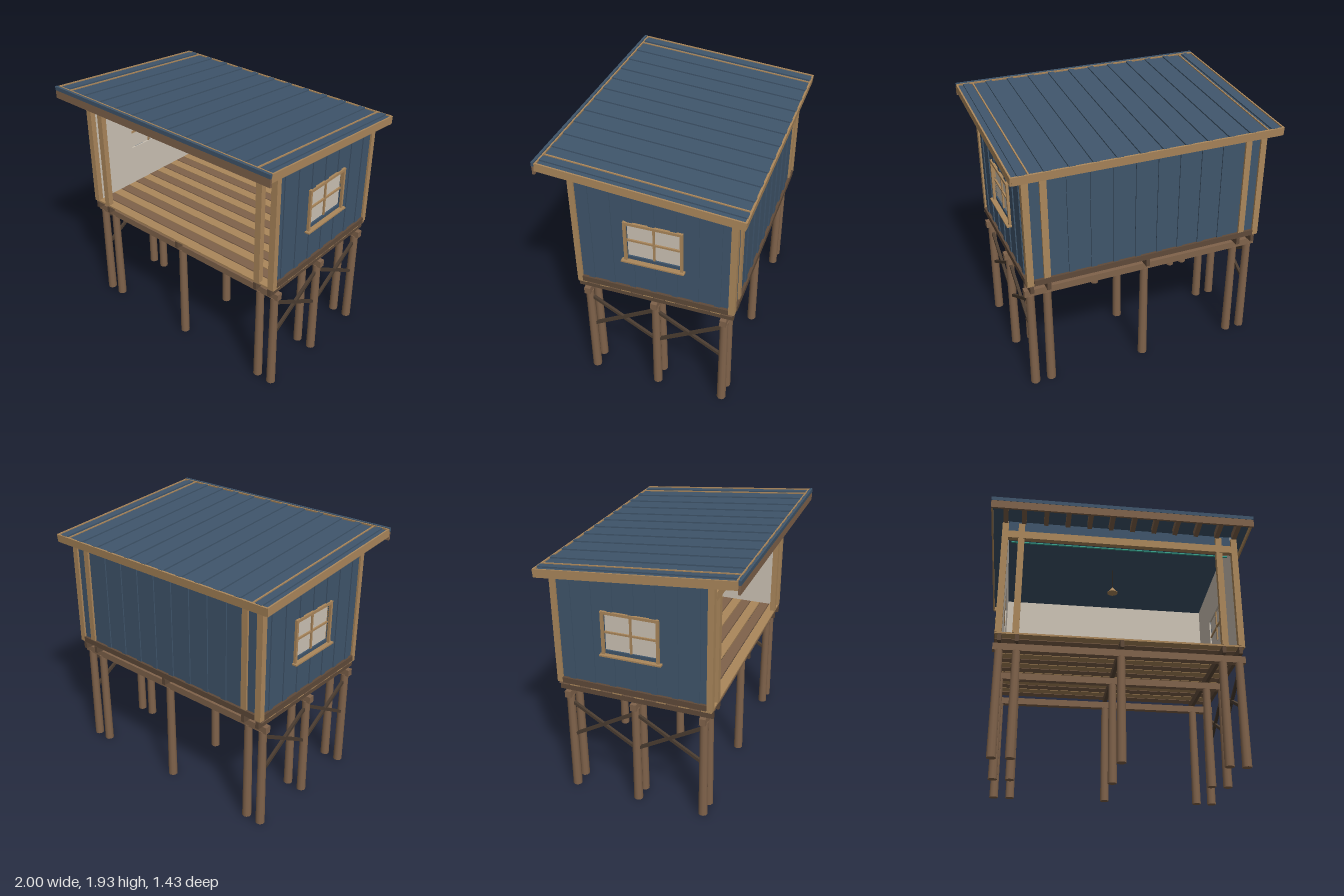
import * as THREE from 'three';

const mat = (name, color) => {
  const m = new THREE.MeshStandardMaterial({ color });
  m.name = name;
  return m;
};

export function createModel() {
  const blue = mat('blue metal', 0x3f556b);
  const tan = mat('light timber', 0xab875b);
  const brown = mat('brown timber', 0x80634b);
  const dark = mat('dark timber', 0x5f4a39);
  const braceMat = mat('brace timber', 0x4a3c30);
  const lining = mat('pale lining', 0xcdc3b5);
  const teal = mat('teal light', 0x3aa592);
  const black = mat('dark cord', 0x2a2623);

  const model = new THREE.Group();
  model.name = 'stiltCabin';
  const SLOPE = 0.089;
  const roofY = (z, drop = 0) => 1.869 + SLOPE * z - drop;

  const add = (name, geo, material, parent = model) => {
    const m = new THREE.Mesh(geo, material);
    m.name = name;
    parent.add(m);
    return m;
  };
  // Box given by its minimum and maximum on each axis
  const box = (name, material, x0, x1, y0, y1, z0, z1, parent) => {
    const m = add(name, new THREE.BoxGeometry(Math.abs(x1 - x0), y1 - y0, z1 - z0), material, parent);
    m.position.set((x0 + x1) / 2, (y0 + y1) / 2, (z0 + z1) / 2);
    return m;
  };
  const group = (name) => {
    const g = new THREE.Group();
    g.name = name;
    model.add(g);
    return g;
  };

  // Stilts, cross beams and joists
  const cols = [-0.88, -0.755, 0, 0.755, 0.88];
  const rows = [0.456, -0.056, -0.567];
  const base = group('substructure');
  const stiltGeo = new THREE.CylinderGeometry(0.03, 0.035, 0.8, 10);
  for (const z of rows) {
    for (const x of cols) add('stilt', stiltGeo, brown, base).position.set(x, 0.4, z);
    box('crossBeam', brown, -0.925, 0.925, 0.793, 0.846, z - 0.023, z + 0.023, base);
  }
  for (const x of cols) box('joist', dark, x - 0.014, x + 0.014, 0.846, 0.9, -0.635, 0.525, base);

  // Diagonal braces between the outer stilts
  for (const x of [-0.88, 0.88]) {
    for (let i = 0; i < 2; i++) {
      for (const s of [1, -1]) {
        const dz = rows[i] - rows[i + 1];
        const brace = add('brace', new THREE.BoxGeometry(0.022, 0.022, Math.hypot(dz, 0.3)), braceMat, base);
        brace.position.set(x, 0.6, (rows[i] + rows[i + 1]) / 2);
        brace.rotation.x = s * Math.atan2(0.3, dz);
      }
    }
  }

  // Floor planks with narrow gaps
  const floor = group('floor');
  const N = 14, pitch = 1.16 / N;
  for (let i = 0; i < N; i++) {
    const z = -0.635 + i * pitch;
    box('plank', i % 2 ? tan : brown, -0.915, 0.915, 0.9, 0.914, z + 0.004, z + pitch - 0.004, floor);
  }

  // Corner posts and inner posts
  const frame = group('frame');
  for (const s of [1, -1]) {
    for (const c of [0.89, 0.767]) {
      const x = s * c;
      box('frontPost', tan, x - 0.024, x + 0.024, 0.914, 1.848, 0.482, 0.524, frame);
      box('backPost', tan, x - 0.024, x + 0.024, 0.914, 1.785, -0.645, -0.6, frame);
    }
  }
  box('frontBeam', tan, -0.866, 0.866, 1.715, 1.776, 0.485, 0.527, frame);
  box('transomPanel', blue, -0.866, 0.866, 1.776, 1.875, 0.487, 0.5, frame);
  box('lightStrip', teal, -0.84, 0.84, 1.703, 1.711, 0.468, 0.482, frame);

  // Side walls: sloping top with a window opening
  const W = { z0: -0.257, z1: 0.126, y0: 1.235, y1: 1.513 };
  const wallGeo = (depth) => {
    const shape = new THREE.Shape([
      [-0.605, 0.914], [0.485, 0.914], [0.485, roofY(0.485, 0.024)], [-0.605, roofY(-0.605, 0.024)],
    ].map(([z, y]) => new THREE.Vector2(z, y)));
    shape.holes.push(new THREE.Path([
      [W.z0, W.y0], [W.z0, W.y1], [W.z1, W.y1], [W.z1, W.y0],
    ].map(([z, y]) => new THREE.Vector2(z, y))));
    return new THREE.ExtrudeGeometry(shape, { depth, bevelEnabled: false })
      .rotateY(-Math.PI / 2).translate(depth / 2, 0, 0);
  };
  for (const s of [1, -1]) {
    const side = group(s > 0 ? 'leftWall' : 'rightWall');
    add('siding', wallGeo(0.02), blue, side).position.x = s * 0.89;
    add('innerLining', wallGeo(0.012), lining, side).position.x = s * 0.874;
    box('baseTrim', dark, s * 0.9, s * 0.92, 0.914, 0.957, -0.6, 0.482, side);

    // Raised siding ribs, interrupted by the window
    for (let z = -0.52; z < 0.45; z += 0.155) {
      const rib = (y0, y1) => box('sidingRib', blue, s * 0.9, s * 0.908, y0, y1, z - 0.022, z + 0.022, side);
      if (z > -0.3 && z < 0.165) {
        rib(0.957, 1.2);
        rib(1.53, roofY(z, 0.03));
      } else rib(0.957, roofY(z, 0.03));
    }

    // Window
    const w = (name, m, z0, z1, y0, y1, a = 0.88, b = 0.919) =>
      box(name, m, s * a, s * b, y0, y1, z0, z1, side);
    w('windowPane', lining, W.z0, W.z1, W.y0, W.y1, 0.882, 0.888);
    w('windowJamb', tan, W.z0 - 0.02, W.z0, 1.208, 1.515);
    w('windowJamb', tan, W.z1, W.z1 + 0.02, 1.208, 1.515);
    w('windowHead', tan, W.z0 - 0.02, W.z1 + 0.02, 1.513, 1.533);
    w('windowSill', tan, -0.29, 0.165, 1.198, 1.209, 0.88, 0.937);
    w('mullion', tan, -0.073, -0.059, W.y0, W.y1, 0.872, 0.9);
    w('mullion', tan, W.z0, W.z1, 1.364, 1.378, 0.872, 0.9);
  }

  // Back wall
  const ribXs = [];
  for (let i = -5; i < 5; i++) ribXs.push((i + 0.5) * 0.167);
  const back = group('backWall');
  box('siding', blue, -0.88, 0.88, 0.914, 1.79, -0.63, -0.61, back);
  box('innerLining', lining, -0.87, 0.87, 0.914, 1.79, -0.61, -0.598, back);
  box('skirting', tan, -0.868, 0.868, 0.914, 0.945, -0.598, -0.588, back);
  box('baseTrim', dark, -0.866, 0.866, 0.914, 0.957, -0.65, -0.63, back);
  for (const x of ribXs) {
    if (Math.abs(x) < 0.7) box('sidingRib', blue, x - 0.022, x + 0.022, 0.957, 1.785, -0.639, -0.63, back);
  }

  // Sloping ribbed roof, built flat and tilted
  const roof = group('roof');
  roof.position.y = 1.869;
  roof.rotation.x = -Math.atan(SLOPE);
  box('roofSheet', blue, -0.99, 0.99, -0.024, -0.01, -0.71, 0.71, roof);
  for (const x of [...ribXs, -0.925, 0.925]) {
    box('roofRib', blue, x - 0.0235, x + 0.0235, -0.01, 0, -0.71, 0.705, roof);
  }
  for (const s of [1, -1]) {
    box('roofStrip', tan, s * 0.87, s * 0.88, -0.01, -0.002, -0.71, 0.69, roof);
    box('sideFascia', tan, s * 0.988, s * 1, -0.062, -0.002, -0.718, 0.7, roof);
  }
  box('backFascia', tan, -0.99, 0.99, -0.062, -0.002, -0.72, -0.706, roof);
  box('frontStrip', tan, -0.99, 0.99, -0.01, 0.001, 0.686, 0.696, roof);
  for (const x of [...ribXs, -0.89, 0.89]) {
    box('rafterTail', brown, x - 0.018, x + 0.018, -0.076, -0.024, 0.525, 0.69, roof);
  }

  // Front eave boards
  box('frontFascia', brown, -1, 1, 1.842, 1.904, 0.7, 0.716);
  box('frontFlashing', blue, -1, 1, 1.904, 1.934, 0.7, 0.718);

  // Hanging lamp
  const lamp = group('lamp');
  add('lampShade', new THREE.CylinderGeometry(0.008, 0.045, 0.048, 16, 1, true), tan, lamp).position.y = 1.647;
  add('lampBase', new THREE.CylinderGeometry(0.044, 0.044, 0.004, 16), tan, lamp).position.y = 1.625;
  add('lampCord', new THREE.CylinderGeometry(0.004, 0.004, 0.18, 8), black, lamp).position.y = 1.758;
  lamp.position.z = -0.05;

  return model;
}
